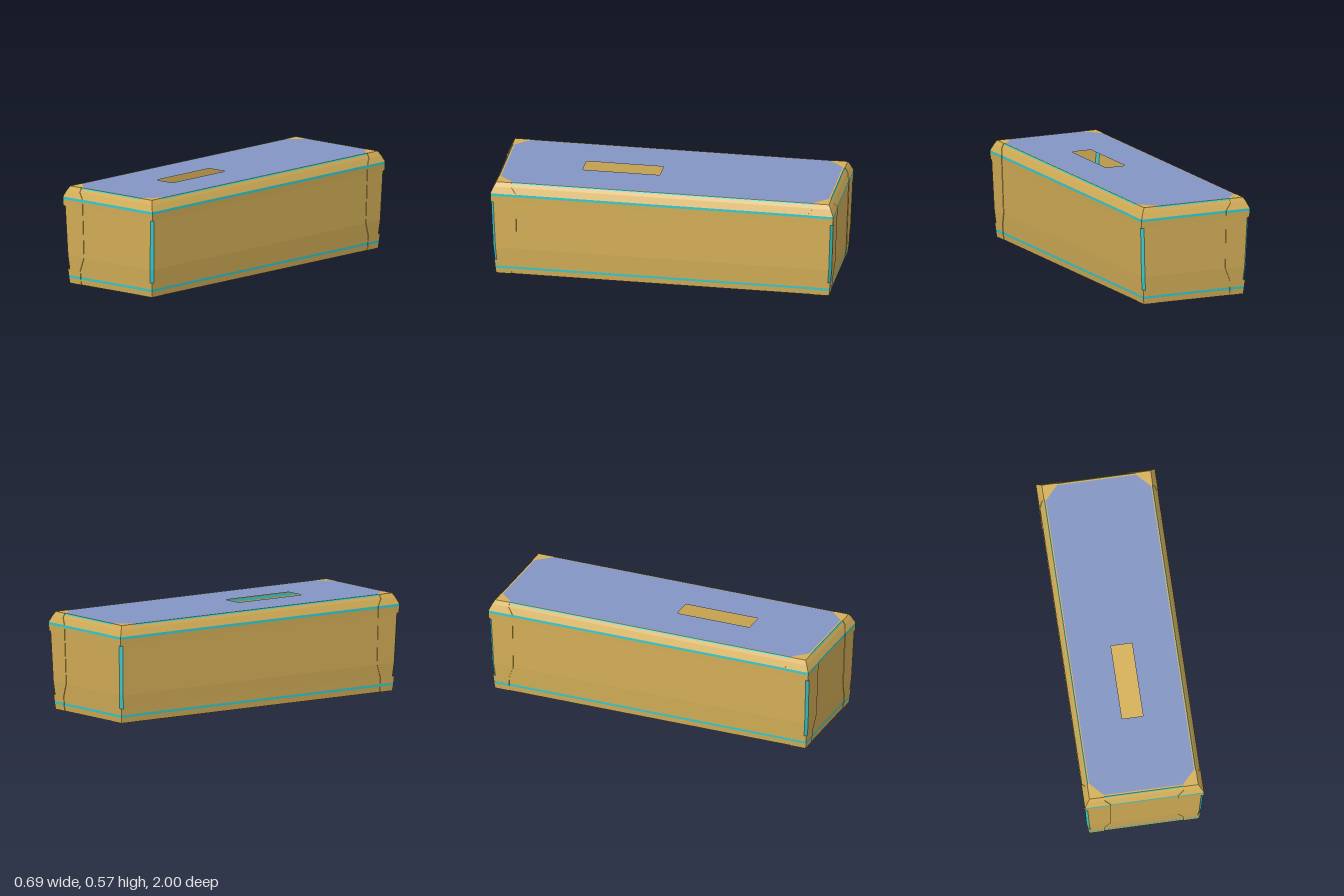
import * as THREE from 'three';

const LENGTH_EXTRA = 0.654; // half depth minus half width
const STEP = 0.003;         // recess of the panels between corner guards

// Levels: height, half width, guard seam x, guard seam z, corner chamfer
const LEVELS = [
  [0, 0.317, 0.23, 0.88, 0],
  [0.033, 0.321, 0.23, 0.88, 0],
  [0.047, 0.322, 0.23, 0.88, 0],
  [0.085, 0.3255, 0.23, 0.88, 0],
  [0.085, 0.3255, 0.23, 0.88, 0.015],
  [0.165, 0.333, 0.195, 0.85, 0.015],
  [0.455, 0.344, 0.195, 0.85, 0.015],
  [0.455, 0.344, 0.195, 0.85, 0],
  [0.493, 0.346, 0.195, 0.85, 0],
  [0.508, 0.346, 0.195, 0.85, 0],
  [0.545, 0.33, 0.23, 0.88, 0],
  [0.562, 0.3205, 0.23, 0.88, 0],
  [0.57, 0.316, 0.23, 0.88, 0],
];

// 24-point outline of one level, six points per corner guard
function ring([y, hx, sx, sz, c]) {
  const hz = hx + LENGTH_EXTRA;
  const corner = [
    [sx, hz - STEP], [sx, hz], [hx - c, hz],
    [hx, hz - c], [hx, sz], [hx - STEP, sz],
  ];
  const points = [];
  [[1, 1], [1, -1], [-1, -1], [-1, 1]].forEach(([mx, mz], q) => {
    const list = q % 2 ? [...corner].reverse() : corner;
    list.forEach(([x, z]) => points.push(new THREE.Vector3(x * mx, y, z * mz)));
  });
  return points;
}
const RINGS = LEVELS.map(ring);

// Skin between levels; accept(row, cell) picks cells (2 = corner chamfer, 5 = panel)
function skin(from, to, accept = () => true) {
  const pos = [];
  const tri = new THREE.Triangle();
  const add = (a, b, c) => {
    tri.set(a, b, c);
    if (tri.getArea() > 1e-8) [a, b, c].forEach((p) => pos.push(p.x, p.y, p.z));
  };
  for (let r = from; r < to; r++) {
    for (let i = 0; i < 24; i++) {
      if (!accept(r, i % 6)) continue;
      const j = (i + 1) % 24;
      const [a, b, c, d] = [RINGS[r][i], RINGS[r][j], RINGS[r + 1][j], RINGS[r + 1][i]];
      add(a, b, c);
      add(a, c, d);
    }
  }
  const geo = new THREE.BufferGeometry();
  geo.setAttribute('position', new THREE.Float32BufferAttribute(pos, 3));
  geo.computeVertexNormals();
  return geo;
}

// Flat horizontal plate from [x, z] outlines
function plate(outline, hole, y, up = true) {
  const s = up ? -1 : 1;
  const toPoints = (list) => list.map(([x, z]) => new THREE.Vector2(x, s * z));
  const shape = new THREE.Shape(toPoints(outline));
  if (hole) shape.holes.push(new THREE.Path(toPoints(hole)));
  return new THREE.ShapeGeometry(shape).rotateX(s * Math.PI / 2).translate(0, y, 0);
}

const outlineOf = (points) => points
  .filter((p, i) => p.distanceTo(points[(i + 1) % points.length]) > 1e-6)
  .map((p) => [p.x, p.z]);

export function createModel() {
  const group = new THREE.Group();
  const material = (name, color) => {
    const m = new THREE.MeshStandardMaterial({ color, side: THREE.DoubleSide });
    m.name = name;
    return m;
  };
  const gold = material('gold', 0xd6b058);
  const cyan = material('cyan', 0x38ccd0);
  const blue = material('blue', 0x8295c3);
  const add = (name, geo, mat) => {
    const mesh = new THREE.Mesh(geo, mat);
    mesh.name = name;
    group.add(mesh);
  };

  // Hollow body with raised corner guards
  const isStrip = (r, cell) => cell === 2 && (r === 4 || r === 5);
  add('base', plate(outlineOf(RINGS[0]), null, 0, false), gold);
  add('lowerRim', skin(0, 1), gold);
  add('lowerBand', skin(1, 2), cyan);
  add('walls', skin(2, 8, (r, cell) => !isStrip(r, cell)), gold);
  add('cornerStrips', skin(4, 6, isStrip), cyan);
  add('upperBand', skin(8, 9), cyan);

  // Sloping shoulder, with trim between the corner guards
  add('shoulder', skin(9, 12, (r, cell) => r < 11 || cell !== 5), gold);
  add('topTrim', skin(11, 12, (r, cell) => cell === 5), cyan);

  // Lid: rim with clipped corners, inner panel and open slot
  const panel = [
    [0.305, 0.875], [0.305, -0.875], [0.23, -0.957], [-0.23, -0.957],
    [-0.305, -0.875], [-0.305, 0.875], [-0.23, 0.957], [0.23, 0.957],
  ];
  const slot = [[-0.061, 0.06], [0.061, 0.06], [0.061, 0.51], [-0.061, 0.51]];
  add('lidRim', plate(outlineOf(RINGS[12]), panel, 0.57), gold);
  add('lidPanel', plate(panel, slot, 0.57), blue);

  return group;
}
